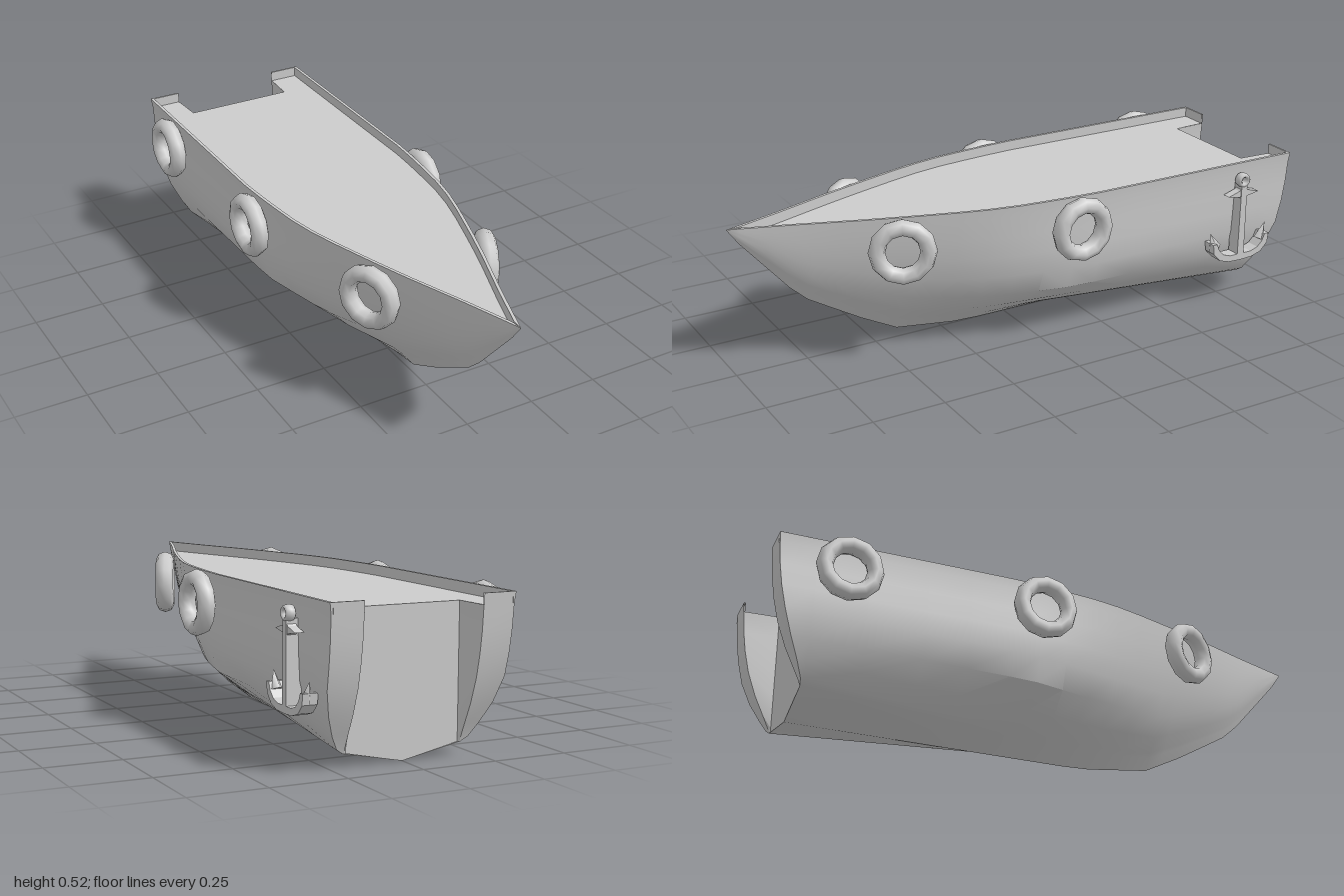
import * as THREE from 'three';
import { toCreasedNormals } from 'three/addons/utils/BufferGeometryUtils.js';

const material = new THREE.MeshStandardMaterial({ color: 0xcccccc, side: THREE.DoubleSide });
const TOP = 0.51, DECK = 0.475, STERN = -0.875, RIM = 0.011;
const NOTCH = 0.193, NOTCH_AFT = 0.2; // half width of the stern notch, inside and at its mouth

// Linear interpolation in a table of [position, value] pairs
function table(pairs, p) {
  if (p <= pairs[0][0]) return pairs[0][1];
  for (let i = 1; i < pairs.length; i++) {
    const [p0, v0] = pairs[i - 1], [p1, v1] = pairs[i];
    if (p <= p1) return v0 + (v1 - v0) * (p - p0) / (p1 - p0);
  }
  return pairs[pairs.length - 1][1];
}

// Hull lines: keel height, half width at the rim, raked stern
const keelY = z => table([[0.1, 0], [0.2, 0.004], [0.42, 0.033], [0.55, 0.1], [0.66, 0.165],
  [0.74, 0.213], [0.8, 0.268], [0.97, 0.465], [1, TOP]], z);
const halfWidth = z => table([[-1, 0.312], [-0.2, 0.31], [-0.1, 0.304], [0, 0.295], [0.1, 0.284], [0.2, 0.265],
  [0.3, 0.238], [0.4, 0.207], [0.5, 0.175], [0.6, 0.141], [0.8, 0.068], [1, 0]], z);
const sternZ = y => table([[0.045, STERN - 0.003], [0.12, -0.912], [0.2, -0.95], [0.29, -0.975],
  [0.38, -0.99], [TOP, -1]], y);

// Section shapes, as width at each level: full aft, a V amidships, rounded V at the bow
const levels = [0, 0.08, 0.11, 0.2, 0.33, 0.49, 0.64, 0.78, 0.93, 1];
const sternShape = [0, 0.65, 0.725, 0.81, 0.9, 0.965, 0.975, 0.98, 0.985, 1];
const midShape = [0, 0.24, 0.33, 0.58, 0.86, 0.955, 0.972, 0.98, 0.985, 1];
const bowShape = [0, 0.15, 0.2, 0.4, 0.6, 0.76, 0.86, 0.93, 0.98, 1];

function section(z) {
  const k = keelY(z), w = halfWidth(z);
  return levels.map((t, j) => [
    w * table([[STERN, sternShape[j]], [-0.1, midShape[j]], [0.42, bowShape[j]]], z), k + (TOP - k) * t, z]);
}

// Surface through rows of points; side -1 mirrors it in x
function surface(name, rows, side = 1, crease = 0.5) {
  const pos = [];
  const tri = (...pts) => {
    if (side < 0) pts.reverse();
    pts.forEach(p => pos.push(p[0] * side, p[1], p[2]));
  };
  for (let i = 0; i + 1 < rows.length; i++) {
    for (let j = 0; j + 1 < rows[i].length; j++) {
      const a = rows[i][j], b = rows[i][j + 1], c = rows[i + 1][j + 1], d = rows[i + 1][j];
      tri(a, b, c);
      tri(a, c, d);
    }
  }
  const g = new THREE.BufferGeometry();
  g.setAttribute('position', new THREE.Float32BufferAttribute(pos, 3));
  const mesh = new THREE.Mesh(toCreasedNormals(g, crease), material);
  mesh.name = name;
  return mesh;
}

function createHull() {
  const hull = new THREE.Group();
  hull.name = 'hull';
  const stations = [STERN, -0.7, -0.5, -0.35, -0.2, -0.1, 0, 0.1, 0.2, 0.3, 0.42, 0.48, 0.55, 0.6, 0.66,
    0.74, 0.8, 0.88, 0.96, 1];
  const sections = stations.map(section);
  const aft = sections[0];
  const raked = aft.map(([x, y], j) => [x, y, j ? sternZ(y) : STERN]);
  const inner = z => Math.max(halfWidth(z) - RIM, 0);
  const horn = raked.slice(1);

  for (const side of [1, -1]) {
    hull.add(surface('hullSide', [raked, ...sections], side));

    // Bulwark: rim top and inner face, with the deck inside it
    const edge = [-1, ...stations];
    hull.add(surface('bulwark', edge.map(z => [
      [halfWidth(z), TOP, z], [inner(z), TOP, z], [inner(z), Math.max(DECK, keelY(z)), z]]), side, 0.4));
    const deckStations = stations.filter(z => z <= 0.96);
    hull.add(surface('deck', deckStations.map(z => [[inner(z), DECK, z], [0, DECK, z]]), side));
    hull.add(surface('sternDeck', [[-0.993, NOTCH_AFT], [STERN, NOTCH]].map(([z, x]) =>
      [[inner(z), DECK, z], [x, DECK, z]]), side));

    // Stern horn: curved back, inner wall, and the low rim across its end
    hull.add(surface('hornBack', [horn.map(([, y, z]) => [NOTCH_AFT, y, z]), horn], side));
    const wall = horn.map(([, y, z]) => [Math.min(y, DECK), z]);
    hull.add(surface('hornWall', [wall.map(([y]) => [NOTCH, y, STERN]),
      wall.map(([y, z]) => [NOTCH_AFT, y, z])], side));
    hull.add(surface('hornRim', [inner(-1), NOTCH_AFT].map(x => [
      [x, TOP, -1], [x, TOP, -0.993], [x, DECK, -0.993]]), side));

    // Flat transom between the horns, following the bottom
    const xs = [0, NOTCH, aft[2][0]];
    hull.add(surface('transom', xs.map((x, i) => [[x, aft[i][1], STERN], [x, DECK, STERN]]), side));
  }
  return hull;
}

// Fender ring whose axis points outwards, turned towards the bow by `turn`
function createFender(side, x, z, turn = 0) {
  const g = new THREE.TorusGeometry(0.084, 0.028, 8, 12);
  g.scale(1, 1, 1.16);
  const fender = new THREE.Mesh(g, material);
  fender.name = 'tyreFender';
  fender.position.set(side * x, 0.408, z);
  fender.rotation.y = side * (Math.PI / 2 - turn);
  return fender;
}

function createAnchor() {
  const anchor = new THREE.Group();
  anchor.name = 'anchor';
  const plate = (name, pts, depth, x) => {
    const shape = new THREE.Shape(pts.map(p => new THREE.Vector2(...p)));
    const g = new THREE.ExtrudeGeometry(shape, { depth, bevelEnabled: false });
    g.rotateY(Math.PI / 2);
    const mesh = new THREE.Mesh(g, material);
    mesh.name = name;
    mesh.position.x = x;
    anchor.add(mesh);
  };
  // Shank with curved arms
  const half = [[0.05, 0.158], [0.09, 0.17], [0.118, 0.2], [0.122, 0.235], [0.105, 0.235], [0.095, 0.21],
    [0.075, 0.19], [0.045, 0.18], [0.014, 0.18], [0.012, 0.44]];
  const mirrored = half.map(([u, y]) => [-u, y]).reverse();
  plate('shankAndArms', [[0, 0.156], ...half, ...mirrored], 0.05, 0.295);
  // Pointed flukes at the arm ends
  for (const end of [1, -1]) {
    const fluke = new THREE.Mesh(new THREE.ConeGeometry(0.026, 0.062, 4), material);
    fluke.name = 'fluke';
    fluke.position.set(0.322, 0.241, end * 0.109);
    fluke.rotation.x = end * 0.35;
    fluke.scale.x = 0.75;
    anchor.add(fluke);
  }
  // Stock
  plate('stock', [[-0.065, 0.404], [-0.015, 0.395], [0, 0.375], [0.015, 0.395], [0.065, 0.404],
    [0.018, 0.418], [0, 0.435], [-0.018, 0.418]], 0.03, 0.312);
  // Ring
  const g = new THREE.TorusGeometry(0.018, 0.008, 8, 12);
  g.scale(1, 1, 2.2);
  g.rotateY(Math.PI / 2);
  const ring = new THREE.Mesh(g, material);
  ring.name = 'anchorRing';
  ring.position.set(0.332, 0.455, 0);
  anchor.add(ring);
  anchor.position.z = -0.775;
  return anchor;
}

export function createModel() {
  const boat = new THREE.Group();
  boat.name = 'boat';
  boat.add(createHull(), createAnchor());
  for (const side of [1, -1]) {
    boat.add(createFender(side, 0.342, -0.105), createFender(side, 0.217, 0.495, 0.42));
  }
  boat.add(createFender(-1, 0.342, -0.775));
  return boat;
}
